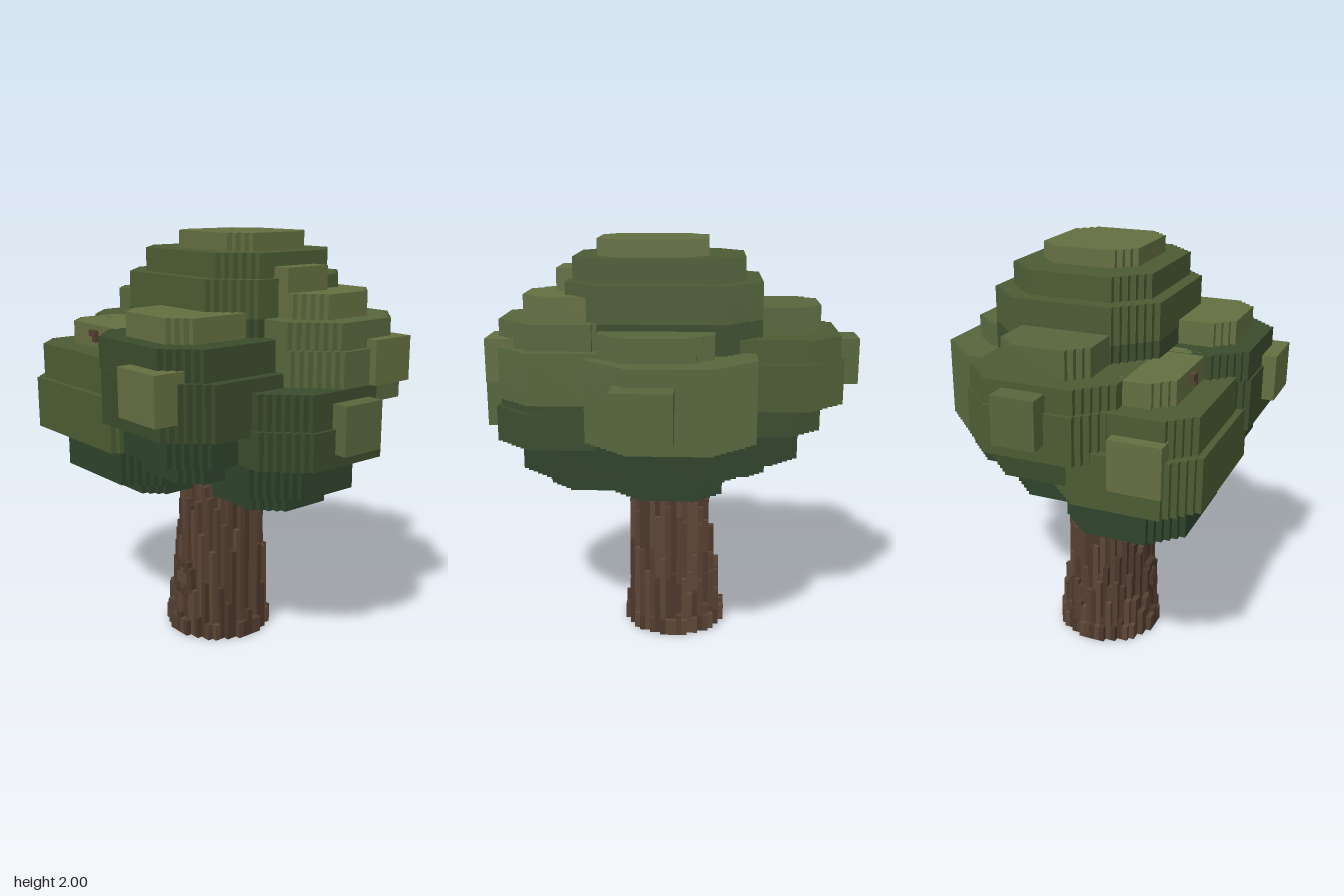
import * as THREE from 'three';
import { mergeGeometries } from 'three/addons/utils/BufferGeometryUtils.js';

const STEP = 0.027; // block size
const mat = (color) => new THREE.MeshStandardMaterial({ color, flatShading: true });
const LEAF = { L: mat(0x636e40), O: mat(0x56663c), M: mat(0x4b5b33), D: mat(0x3a4b2c), K: mat(0x2e422b) };
const BARK = [mat(0x553f31), mat(0x4b372b), mat(0x5c4636)];

let seed = 7;
const rand = () => (seed = (seed * 16807) % 2147483647) / 2147483647;

// Horizontal slab whose four corners are cut off in small stair steps
function slab(x0, x1, z0, z1, y0, y1, cut) {
  const hx = (x1 - x0) / 2, hz = (z1 - z0) / 2;
  const n = Math.max(1, Math.round(cut / STEP));
  const corner = [];
  for (let k = 0; k <= n; k++) {
    corner.push([hx - k * STEP, hz - (n - k) * STEP]);
    if (k < n) corner.push([hx - (k + 1) * STEP, hz - (n - k) * STEP]);
  }
  const back = [...corner].reverse();
  const pts = [
    ...corner,
    ...back.map(([x, z]) => [-x, z]),
    ...corner.map(([x, z]) => [-x, -z]),
    ...back.map(([x, z]) => [x, -z]),
  ].map(([x, z]) => new THREE.Vector2(x, z));
  const g = new THREE.ExtrudeGeometry(new THREE.Shape(pts), { depth: y1 - y0, bevelEnabled: false });
  g.rotateX(-Math.PI / 2);
  g.translate((x0 + x1) / 2, y0, (z0 + z1) / 2);
  return g;
}

function box(x0, x1, y0, y1, z0, z1) {
  const g = new THREE.BoxGeometry(x1 - x0, y1 - y0, z1 - z0);
  return g.translate((x0 + x1) / 2, (y0 + y1) / 2, (z0 + z1) / 2);
}

// Leaf clump: stacked tiers [x0, x1, z0, z1, y0, y1, corner cut, shade]
function clump(name, tiers) {
  const group = new THREE.Group();
  group.name = name;
  tiers.forEach(([x0, x1, z0, z1, y0, y1, cut, shade], i) => {
    const mesh = new THREE.Mesh(slab(x0, x1, z0, z1, y0, y1, cut), LEAF[shade]);
    mesh.name = `${name}Tier${i + 1}`;
    group.add(mesh);
  });
  return group;
}

// Trunk: upright bark columns, shorter towards the outside
function trunk() {
  const group = new THREE.Group();
  group.name = 'trunk';
  const parts = [[], [], []];
  const R = 0.25, cx = -0.015, cz = 0.07;
  for (let i = -9; i <= 9; i++) {
    for (let j = -9; j <= 9; j++) {
      const dx = i * STEP, dz = j * STEP;
      if (Math.hypot(dx, dz) > R) continue;
      let h = 0;
      for (let y = 0; y <= 0.95; y += STEP) {
        const r = R - 0.085 * y;
        if (Math.hypot(dx - 0.045 * y, dz) < r) h = y;
      }
      if (h < 0.9) h = Math.max(0.08, h + Math.round((rand() - 0.5) * 7) * STEP);
      const x = cx + dx, z = cz + dz, s = STEP / 2;
      parts[Math.floor(rand() * 3)].push(box(x - s, x + s, 0, Math.min(h, 0.95), z - s, z + s));
    }
  }
  parts.forEach((list, i) => {
    const mesh = new THREE.Mesh(mergeGeometries(list), BARK[i]);
    mesh.name = `bark${i + 1}`;
    group.add(mesh);
  });
  // Knot on the front: stepped disc with a paler heart
  [[0.07, 0.09, 0.303, 1], [0.04, 0.055, 0.308, 2]].forEach(([rx, ry, z, m], i) => {
    const g = slab(-rx, rx, -ry, ry, 0, 0.03, 0.03);
    g.rotateX(Math.PI / 2);
    g.translate(-0.01, 0.29, z - 0.03);
    const mesh = new THREE.Mesh(g, BARK[m]);
    mesh.name = i ? 'knotHeart' : 'knotRing';
    group.add(mesh);
  });
  return group;
}

export function createModel() {
  const tree = new THREE.Group();
  tree.name = 'tree';
  tree.add(trunk());

  tree.add(clump('crown', [
    [-0.35, 0.42, -0.35, 0.35, 0.92, 1.30, 0.14, 'K'],
    [-0.43, 0.48, -0.41, 0.40, 1.30, 1.64, 0.16, 'D'],
    [-0.43, 0.48, -0.41, 0.40, 1.64, 1.81, 0.16, 'M'],
    [-0.35, 0.45, -0.34, 0.34, 1.81, 1.92, 0.14, 'M'],
    [-0.18, 0.34, -0.24, 0.23, 1.92, 2.00, 0.09, 'L'],
  ]));
  tree.add(clump('rightClump', [
    [-0.60, 0.00, -0.20, 0.26, 0.95, 1.09, 0.10, 'K'],
    [-0.72, 0.00, -0.28, 0.32, 1.09, 1.23, 0.13, 'D'],
    [-0.82, 0.00, -0.35, 0.39, 1.23, 1.45, 0.15, 'M'],
    [-0.80, 0.00, -0.33, 0.36, 1.45, 1.56, 0.14, 'M'],
    [-0.71, -0.20, -0.19, 0.23, 1.56, 1.69, 0.09, 'O'],
  ]));
  tree.add(clump('backClump', [
    [-0.25, 0.25, -0.49, 0.00, 0.84, 0.95, 0.11, 'K'],
    [-0.34, 0.33, -0.62, 0.00, 0.95, 1.12, 0.16, 'K'],
    [-0.40, 0.37, -0.71, 0.05, 1.12, 1.36, 0.19, 'O'],
    [-0.40, 0.37, -0.71, 0.00, 1.36, 1.50, 0.19, 'O'],
    [-0.21, 0.31, -0.60, -0.10, 1.50, 1.61, 0.10, 'O'],
  ]));
  tree.add(clump('leftUpperClump', [
    [0.15, 0.68, -0.38, 0.12, 1.13, 1.28, 0.13, 'D'],
    [0.15, 0.81, -0.48, 0.20, 1.28, 1.52, 0.16, 'O'],
    [0.18, 0.79, -0.43, 0.20, 1.52, 1.64, 0.15, 'O'],
    [0.25, 0.68, -0.34, 0.12, 1.64, 1.75, 0.10, 'L'],
  ]));
  tree.add(clump('leftLowerClump', [
    [0.10, 0.60, -0.18, 0.28, 0.78, 0.87, 0.10, 'K'],
    [0.05, 0.73, -0.28, 0.36, 0.87, 1.03, 0.15, 'K'],
    [0.00, 0.84, -0.34, 0.40, 1.03, 1.20, 0.17, 'D'],
    [0.00, 0.82, -0.32, 0.39, 1.20, 1.36, 0.16, 'D'],
  ]));
  tree.add(clump('frontLeftClump', [
    [-0.05, 0.40, 0.20, 0.56, 0.92, 1.03, 0.09, 'K'],
    [-0.08, 0.54, 0.10, 0.68, 1.03, 1.17, 0.13, 'K'],
    [-0.15, 0.62, 0.05, 0.75, 1.17, 1.42, 0.15, 'D'],
    [-0.15, 0.57, 0.08, 0.74, 1.42, 1.56, 0.14, 'D'],
    [-0.01, 0.45, 0.20, 0.65, 1.56, 1.67, 0.09, 'L'],
  ]));
  tree.add(clump('frontRightClump', [
    [-0.48, 0.01, 0.12, 0.49, 0.76, 0.84, 0.09, 'K'],
    [-0.65, 0.10, 0.06, 0.63, 0.84, 1.03, 0.14, 'K'],
    [-0.76, 0.18, 0.05, 0.73, 1.03, 1.28, 0.13, 'M'],
    [-0.71, 0.05, 0.10, 0.70, 1.28, 1.45, 0.12, 'M'],
    [-0.60, -0.05, 0.20, 0.57, 1.45, 1.56, 0.08, 'L'],
  ]));

  // Square leaf tufts standing out from the clumps
  const tufts = [
    ['rightTuft', -0.90, -0.70, 1.31, 1.53, -0.10, 0.10, 'O'],
    ['backTuft', -0.04, 0.23, 1.20, 1.42, -0.82, -0.60, 'O'],
    ['frontTuft', 0.24, 0.51, 1.25, 1.47, 0.60, 0.81, 'L'],
    ['leftLowTuft', 0.70, 0.90, 1.09, 1.31, -0.11, 0.11, 'O'],
    ['leftHighTuft', 0.70, 0.845, 1.36, 1.56, -0.34, -0.12, 'L'],
    ['crownTuft', 0.35, 0.54, 1.67, 1.86, -0.12, 0.12, 'L'],
    ['frontRightTuft', -0.77, -0.52, 1.13, 1.36, 0.36, 0.60, 'L'],
  ];
  for (const [name, x0, x1, y0, y1, z0, z1, shade] of tufts) {
    const mesh = new THREE.Mesh(box(x0, x1, y0, y1, z0, z1), LEAF[shade]);
    mesh.name = name;
    tree.add(mesh);
  }

  // Small twig poking out of the front foliage
  const twig = new THREE.Mesh(mergeGeometries([
    box(-0.35, -0.295, 1.505, 1.535, 0.54, 0.59),
    box(-0.322, -0.295, 1.48, 1.505, 0.54, 0.59),
  ]), BARK[0]);
  twig.name = 'twig';
  tree.add(twig);

  return tree;
}
